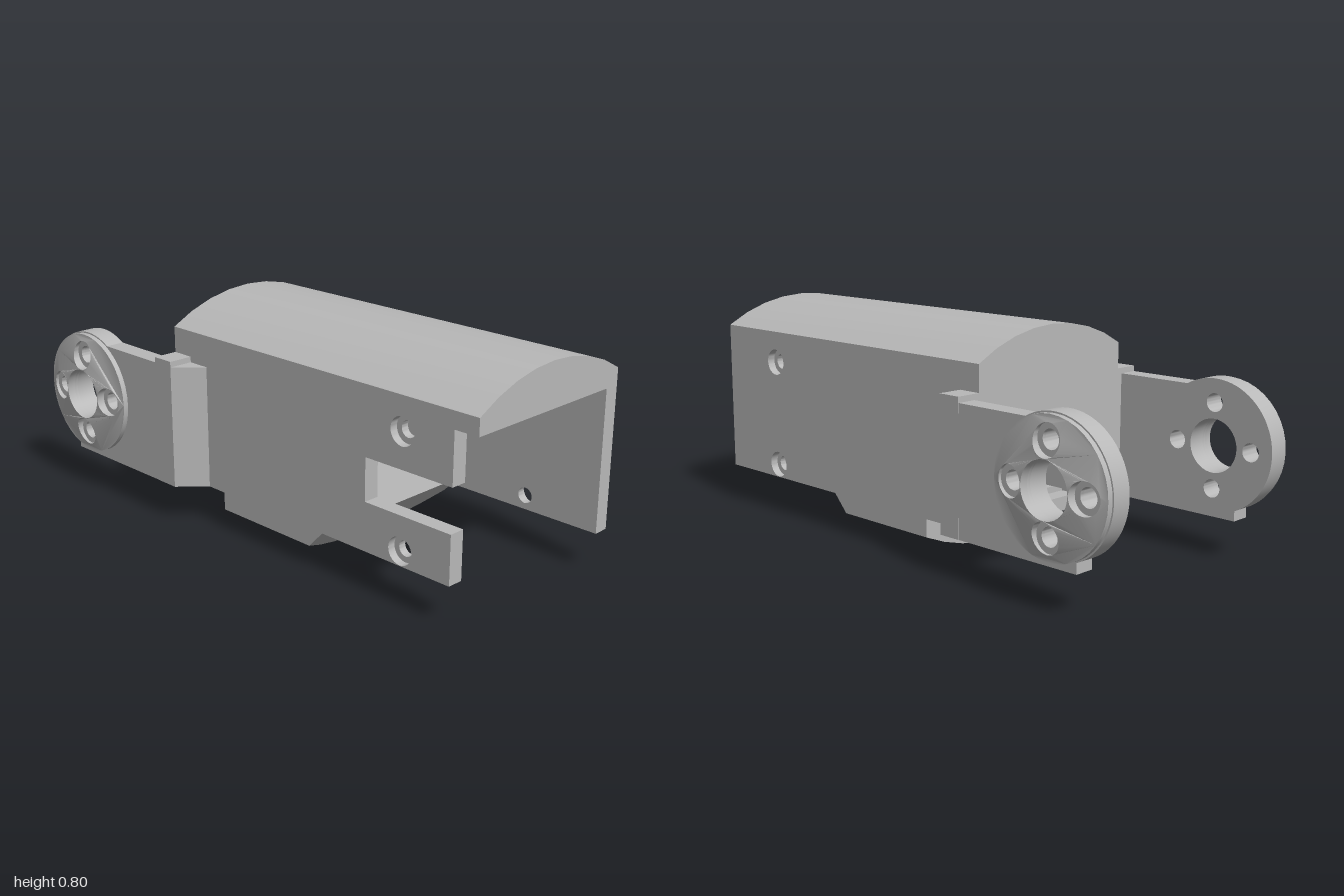
import * as THREE from 'three';
import { toCreasedNormals } from 'three/addons/utils/BufferGeometryUtils.js';

const W = 0.347;            // half width of the housing
const IN = 0.29;            // half width of the cavity
const HUB = [-0.77, 0.385]; // hub centre (x, y)

function poly(points) {
  return new THREE.Shape(points.map(([x, y]) => new THREE.Vector2(x, y)));
}

function addHole(shape, x, y, r) {
  const p = new THREE.Path();
  p.absarc(x, y, r, 0, Math.PI * 2, true);
  shape.holes.push(p);
}

function extrude(shape, depth, curveSegments = 20) {
  return new THREE.ExtrudeGeometry(shape, { depth, bevelEnabled: false, curveSegments });
}

// Extrude a (z, y) cross-section along x
function extrudeX(shape, x0, x1, segments) {
  return extrude(shape, x1 - x0, segments).rotateY(Math.PI / 2).translate(x0, 0, 0);
}

// Extrude an (x, y) outline between two depths
function extrudeZ(shape, z0, z1) {
  return extrude(shape, z1 - z0).translate(0, 0, z0);
}

// Mirror a non-indexed geometry front to back, keeping faces outward
function mirrorZ(geo) {
  const g = geo.clone().scale(1, 1, -1);
  const p = g.attributes.position;
  const a = new THREE.Vector3(), b = new THREE.Vector3();
  for (let i = 0; i < p.count; i += 3) {
    a.fromBufferAttribute(p, i + 1);
    b.fromBufferAttribute(p, i + 2);
    p.setXYZ(i + 1, b.x, b.y, b.z);
    p.setXYZ(i + 2, a.x, a.y, a.z);
  }
  return g;
}

// Side wall outline with two screw holes; the front wall is shorter and slotted
function wallShape(slotted, r) {
  const s = poly(slotted
    ? [[-0.37, 0.14], [0.91, 0.14], [0.91, 0.31], [0.56, 0.31], [0.56, 0.46],
      [0.91, 0.46], [0.91, 0.64], [-0.37, 0.64]]
    : [[-0.37, 0.14], [1, 0.14], [1, 0.64], [-0.37, 0.64]]);
  for (const y of [0.19, 0.583]) addHole(s, 0.71, y, r);
  return s;
}

// Centre bore plus four screw holes around it
function hubHoles(shape, screwRadius) {
  addHole(shape, ...HUB, 0.093);
  for (let i = 0; i < 4; i++) {
    const a = i * Math.PI / 2;
    addHole(shape, HUB[0] + 0.148 * Math.cos(a), HUB[1] + 0.148 * Math.sin(a), screwRadius);
  }
  return shape;
}

function hubDisc(screwRadius) {
  const s = new THREE.Shape();
  s.absarc(...HUB, 0.225, 0, Math.PI * 2, false);
  return hubHoles(s, screwRadius);
}

export function createModel() {
  const model = new THREE.Group();
  const grey = new THREE.MeshStandardMaterial({ color: 0xb8b8b8 });
  grey.name = 'plain grey';

  function add(name, geo, parent = model) {
    const mesh = new THREE.Mesh(toCreasedNormals(geo, 0.35), grey);
    mesh.name = name;
    parent.add(mesh);
  }

  // Domed roof: shallow arc over a flat ceiling
  const R = 0.669, half = Math.asin(W / R);
  const roof = new THREE.Shape();
  roof.moveTo(-W, 0.64);
  roof.lineTo(W, 0.64);
  roof.absarc(0, 0.795 - R, R, Math.PI / 2 - half, Math.PI / 2 + half, false);
  add('domedRoof', extrudeX(roof, -0.37, 1, 4));

  // Side walls in two layers, giving stepped screw holes
  for (const [name, front] of [['frontWall', true], ['backWall', false]]) {
    const wall = new THREE.Group();
    wall.name = name;
    const layer = (r, z0, z1) => extrudeZ(wallShape(front, r), front ? z0 : -z1, front ? z1 : -z0);
    add('innerLayer', layer(0.028, IN, 0.318), wall);
    add('outerLayer', layer(0.048, 0.318, W), wall);
    model.add(wall);
  }

  // End wall with a rectangular window
  const end = poly([[-IN, 0.14], [IN, 0.14], [IN, 0.64], [-IN, 0.64]]);
  end.holes.push(poly([[-0.125, 0.19], [-0.125, 0.363], [0.125, 0.363], [0.125, 0.19]]));
  add('endWall', extrudeX(end, -0.37, -0.31));

  // Rounded belly, its inner end cut back on a slope
  const Rb = 0.83, hb = Math.asin(W / Rb);
  const belly = new THREE.Shape();
  belly.moveTo(W, 0.14);
  belly.lineTo(-W, 0.14);
  belly.absarc(0, Rb, Rb, -Math.PI / 2 - hb, -Math.PI / 2 + hb, false);
  const bellyGeo = extrudeX(belly, -0.12, 0.37, 4);
  const bp = bellyGeo.attributes.position;
  for (let i = 0; i < bp.count; i++) {
    if (bp.getX(i) > 0.3) bp.setX(i, 0.37 - (0.14 - bp.getY(i)) * 0.95);
  }
  add('belly', bellyGeo);

  // Arm plate: straight bar running into a round end with a square heel
  const plate = poly([[-0.865, 0.14], [-0.3, 0.14], [-0.3, 0.585], [-0.66, 0.585]]);
  plate.absarc(...HUB, 0.23, 1.054, 4.287, false);
  hubHoles(plate, 0.032);

  // Domed hub cap: flat rim around the bore, falling to the outer edge
  const cap = extrudeZ(hubDisc(0.053), 0.45, 0.48);
  const cp = cap.attributes.position;
  for (let i = 0; i < cp.count; i++) {
    if (cp.getZ(i) < 0.47) continue;
    const r = Math.hypot(cp.getX(i) - HUB[0], cp.getY(i) - HUB[1]);
    const t = Math.max(0, (r - 0.1) / 0.125);
    cp.setZ(i, 0.48 - 0.024 * Math.pow(t, 1.2));
  }

  // Bevelled shoulder joining the arm to the housing
  const shoulder = extrude(poly([[-0.37, 0.34], [-0.2, 0.34], [-0.2, W], [-0.285, 0.438], [-0.37, 0.438]]), 0.445)
    .rotateX(Math.PI / 2).translate(0, 0.585, 0);
  const tab = new THREE.BoxGeometry(0.085, 0.02, 0.098).translate(-0.3275, 0.595, 0.389).toNonIndexed();

  const parts = {
    armPlate: extrudeZ(plate, 0.367, 0.437),
    hubBase: extrudeZ(hubDisc(0.032), 0.437, 0.45),
    hubCap: cap,
    shoulder,
    shoulderTab: tab,
  };
  for (const side of ['frontArm', 'backArm']) {
    const arm = new THREE.Group();
    arm.name = side;
    for (const [name, geo] of Object.entries(parts)) {
      add(name, side === 'frontArm' ? geo : mirrorZ(geo), arm);
    }
    model.add(arm);
  }
  return model;
}
